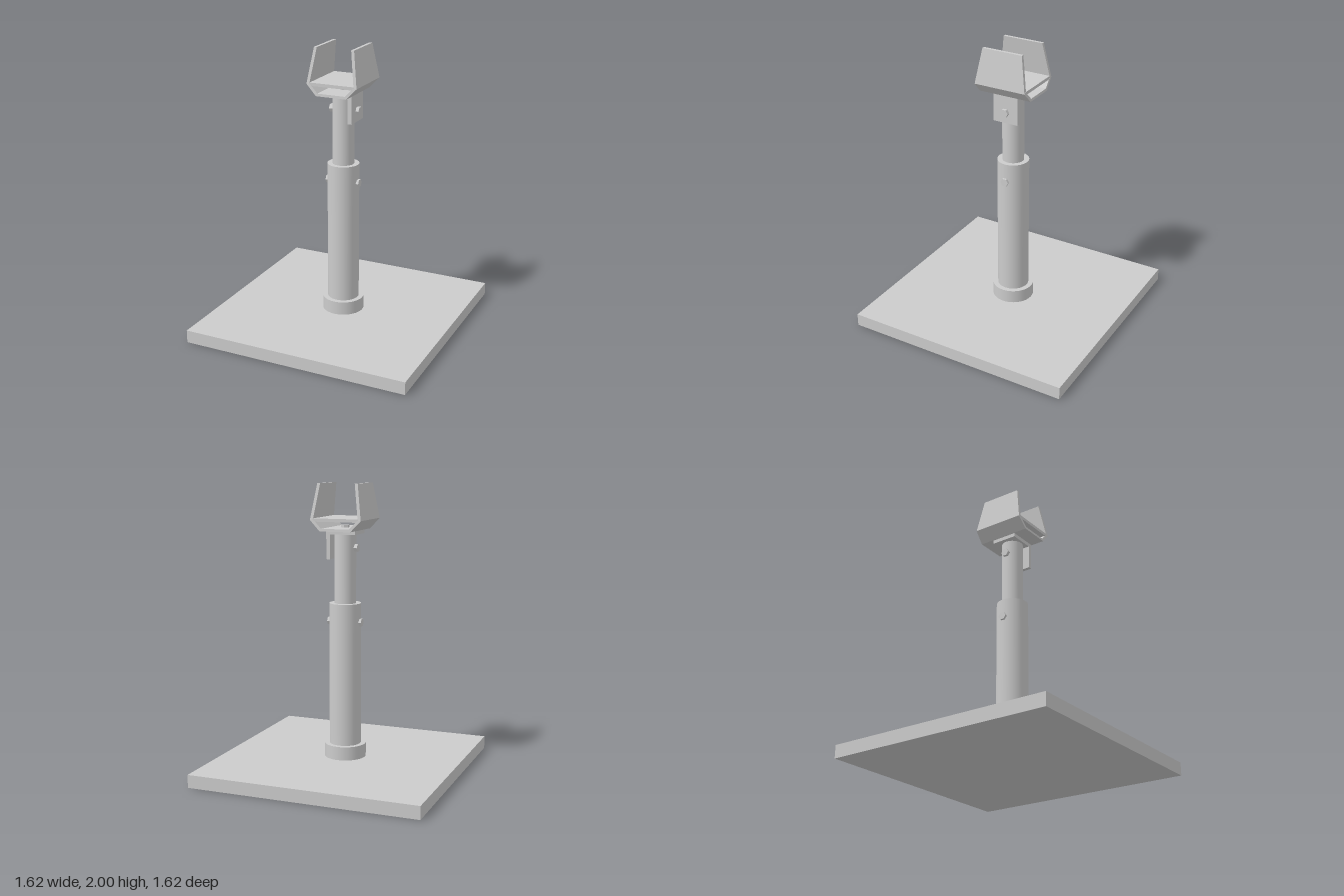
import * as THREE from 'three';

const material = new THREE.MeshStandardMaterial({ color: 0xcccccc });

function add(parent, name, geometry, x = 0, y = 0, z = 0) {
  const mesh = new THREE.Mesh(geometry, material);
  mesh.name = name;
  mesh.position.set(x, y, z);
  parent.add(mesh);
  return mesh;
}

function box(parent, name, x0, x1, y0, y1, halfZ) {
  return add(parent, name, new THREE.BoxGeometry(x1 - x0, y1 - y0, halfZ * 2), (x0 + x1) / 2, (y0 + y1) / 2);
}

function rod(parent, name, radius, y0, y1) {
  return add(parent, name, new THREE.CylinderGeometry(radius, radius, y1 - y0, 48), 0, (y0 + y1) / 2);
}

// Hexagonal head with flat faces, axis along y
function hexGeometry(height) {
  const g = new THREE.CylinderGeometry(0.029, 0.029, height, 6).toNonIndexed();
  g.computeVertexNormals();
  return g;
}

// Cross bolt along x with a hex head at each end
function crossBolt(parent, name, y, left, right) {
  const bolt = new THREE.Group();
  bolt.name = name;
  const shank = add(bolt, 'boltShank', new THREE.CylinderGeometry(0.014, 0.014, right - left - 0.01, 16), (left + right) / 2, y);
  shank.rotation.z = Math.PI / 2;
  for (const x of [left + 0.0125, right - 0.0125]) {
    const head = add(bolt, 'boltHead', hexGeometry(0.025), x, y);
    head.rotation.z = Math.PI / 2;
  }
  parent.add(bolt);
}

// Bent sheet cradle: profile extruded along z, side walls narrowing upward
function cradleGeometry() {
  const outer = [[0.145, 2], [0.182, 1.757], [0.11, 1.682]];
  const inner = [[0.1, 1.7], [0.16, 1.762], [0.124, 2]];
  const mirror = (pts) => pts.map(([x, y]) => [-x, y]).reverse();
  const outline = [...outer, ...mirror(outer), ...mirror(inner), ...inner];
  const shape = new THREE.Shape(outline.map(([x, y]) => new THREE.Vector2(x, y)));
  const g = new THREE.ExtrudeGeometry(shape, { depth: 1, bevelEnabled: false });
  const p = g.attributes.position;
  for (let i = 0; i < p.count; i++) {
    const y = p.getY(i);
    const half = y > 1.76 ? THREE.MathUtils.mapLinear(y, 1.76, 2, 0.187, 0.146)
      : THREE.MathUtils.mapLinear(y, 1.682, 1.76, 0.193, 0.187);
    p.setZ(i, p.getZ(i) > 0.5 ? half : -half);
  }
  g.computeVertexNormals();
  return g;
}

export function createModel() {
  const model = new THREE.Group();
  model.name = 'adjustableStand';

  // Base and telescoping post
  box(model, 'basePlate', -0.81, 0.81, 0, 0.09, 0.81);
  rod(model, 'baseCollar', 0.145, 0.09, 0.185);
  rod(model, 'outerTube', 0.11, 0.185, 1.18);
  rod(model, 'innerTube', 0.075, 1.18, 1.656);

  // Angle bracket bolted to one side of the inner tube
  const bracket = new THREE.Group();
  bracket.name = 'angleBracket';
  box(bracket, 'bracketTop', -0.105, 0.103, 1.656, 1.682, 0.092);
  box(bracket, 'bracketSide', 0.075, 0.103, 1.486, 1.656, 0.092);
  model.add(bracket);

  // Fasteners
  crossBolt(model, 'lowerBolt', 1.048, -0.125, 0.125);
  crossBolt(model, 'upperBolt', 1.562, -0.095, 0.125);
  add(model, 'cradleBolt', hexGeometry(0.018), 0, 1.708);

  // Cradle with its inner support plate
  const cradle = new THREE.Group();
  cradle.name = 'cradle';
  add(cradle, 'cradleChannel', cradleGeometry());
  box(cradle, 'cradlePlate', -0.163, 0.163, 1.746, 1.768, 0.187);
  model.add(cradle);

  return model;
}
